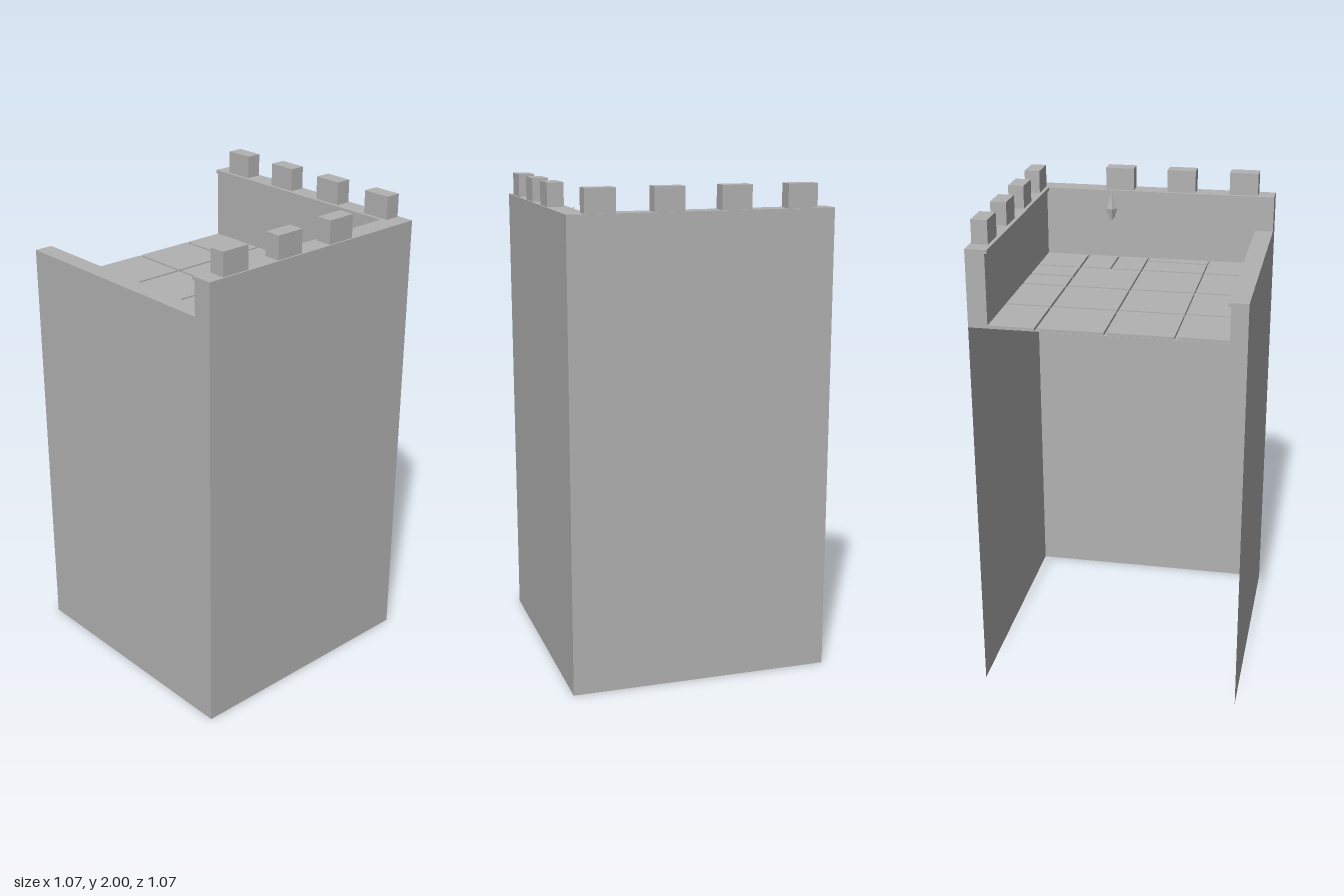
import * as THREE from 'three';

export function createModel() {
  const stone = new THREE.MeshStandardMaterial({ color: 0xb2b2b2, side: THREE.DoubleSide });
  stone.name = 'grey stone';
  const model = new THREE.Group();
  model.name = 'towerCorner';

  const H = 0.537;        // half width of the tower
  const FLOOR = 1.595;    // floor slab height
  const TILE_TOP = 1.607;
  const HIGH = 1.905;     // top of back and right parapets
  const LOW = 1.753;      // top of front parapet
  const LIP = 0.015;      // coping thickness

  const add = (name, geometry, parent = model) => {
    const mesh = new THREE.Mesh(geometry, stone);
    mesh.name = name;
    parent.add(mesh);
    return mesh;
  };
  // Box given by its limits on each axis
  const block = (name, x0, x1, y0, y1, z0, z1, parent) =>
    add(name, new THREE.BoxGeometry(x1 - x0, y1 - y0, z1 - z0), parent)
      .position.set((x0 + x1) / 2, (y0 + y1) / 2, (z0 + z1) / 2);

  // Thin outer walls; the left side and the bottom stay open
  const wall = (name, x, z, turn) => {
    const mesh = add(name, new THREE.PlaneGeometry(2 * H, FLOOR));
    mesh.position.set(x, FLOOR / 2, z);
    mesh.rotation.y = turn;
  };
  wall('frontWall', 0, H, 0);
  wall('backWall', 0, -H, Math.PI);
  wall('rightWall', H, 0, Math.PI / 2);

  // Floor sheet under the paving
  const floor = add('floor', new THREE.PlaneGeometry(2 * H, 2 * H));
  floor.rotation.x = -Math.PI / 2;
  floor.position.y = FLOOR;

  // Parapets with a coping that overhangs inward
  block('backParapet', -H, H, FLOOR, HIGH - LIP, -H, -0.46);
  block('backCoping', -H, H, HIGH - LIP, HIGH, -H, -0.45);
  block('rightParapet', 0.457, H, FLOOR, HIGH - LIP, -0.46, H);
  block('rightCoping', 0.447, H, HIGH - LIP, HIGH, -0.45, H);
  block('frontParapet', -H, 0.457, FLOOR, LOW - LIP, 0.47, H);
  block('frontCoping', -H, 0.457, LOW - LIP, LOW, 0.46, H);

  // Merlons, four on the back and three on the right
  for (let i = 0; i < 4; i++) {
    const c = -0.405 + i * 0.27;
    block('backMerlon', c - 0.061, c + 0.061, HIGH, 2, -0.53, -0.465);
    if (i > 0) block('rightMerlon', 0.463, 0.53, HIGH, 2, c - 0.061, c + 0.061);
  }

  // Paving on a 4 x 4 grid, with three slabs split in half
  const paving = new THREE.Group();
  paving.name = 'paving';
  model.add(paving);
  const PITCH = 0.2695, GAP = 0.006;
  const tile = (x0, x1, z0, z1) => block('tile',
    x0 + GAP, Math.min(x1 - GAP, 0.457), FLOOR, TILE_TOP,
    Math.max(z0 + GAP, -0.46), Math.min(z1 - GAP, 0.47), paving);
  const splits = { '2,0': 'x', '3,1': 'z', '3,2': 'x' };
  for (let i = 0; i < 4; i++) for (let j = 0; j < 4; j++) {
    const x0 = (i - 2) * PITCH - 0.002, x1 = x0 + PITCH;
    const z0 = (j - 2) * PITCH - 0.002, z1 = z0 + PITCH;
    const xm = (x0 + x1) / 2, zm = (z0 + z1) / 2;
    const split = splits[`${i},${j}`];
    if (split === 'x') { tile(x0, xm, z0, z1); tile(xm, x1, z0, z1); }
    else if (split === 'z') { tile(x0, x1, z0, zm); tile(x0, x1, zm, z1); }
    else tile(x0, x1, z0, z1);
  }

  // Small wall torch with a five-sided flame
  const torch = new THREE.Group();
  torch.name = 'torch';
  torch.position.set(0.418, 0, -0.165);
  model.add(torch);
  const facet = (name, top, bottom, y0, y1) => {
    const g = new THREE.CylinderGeometry(top, bottom, y1 - y0, 5).toNonIndexed();
    g.computeVertexNormals();
    add(name, g, torch).position.y = (y0 + y1) / 2;
  };
  facet('torchHandle', 0.015, 0.009, 1.785, 1.815);
  facet('torchCup', 0.025, 0.02, 1.812, 1.834);
  facet('flame', 0.0005, 0.023, 1.834, 1.903);
  block('torchBracket', 0, 0.042, 1.79, 1.808, -0.009, 0.009, torch);

  return model;
}
